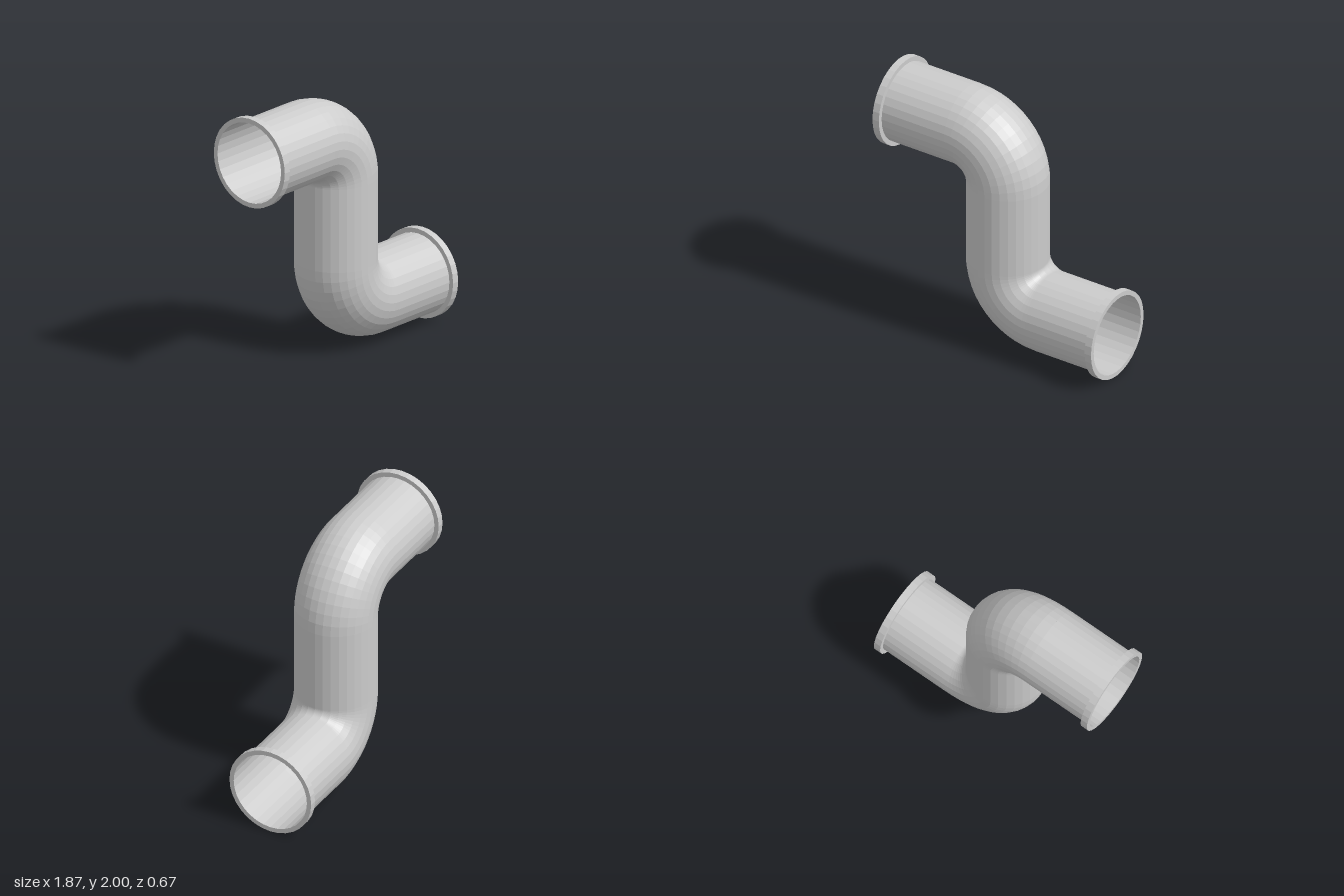
import * as THREE from 'three';

const SIDES = 32;
const R = 0.3;          // pipe radius
const BEND = 0.35;      // bend radius of the centre line
const AXIS_Y = 1.665;   // height of the upper horizontal run
const BEND_Y = AXIS_Y - BEND;
const FLANGE_X = 0.88;  // inner face of the end flange
const FLANGE_T = 0.055;

const material = new THREE.MeshStandardMaterial({
  color: 0xcccccc, flatShading: true, side: THREE.DoubleSide,
});

function part(name, geometry, x, y, turn = 0) {
  const mesh = new THREE.Mesh(geometry, material);
  mesh.name = name;
  mesh.position.set(x, y, 0);
  mesh.rotation.z = turn;
  return mesh;
}

// Open, thin-walled straight pipe
const pipe = (length) => new THREE.CylinderGeometry(R, R, length, SIDES, 1, true);

// One elbow: half of the upright, the bend, the horizontal run and its flange
function createElbow(name) {
  const elbow = new THREE.Group();
  elbow.name = name;

  const rise = BEND_Y - 1;
  elbow.add(part('uprightPipe', pipe(rise), 0, 1 + rise / 2));

  const bend = new THREE.TorusGeometry(BEND, R, SIDES, 12, Math.PI / 2);
  elbow.add(part('bend', bend, -BEND, BEND_Y));

  const run = FLANGE_X - BEND;
  elbow.add(part('horizontalPipe', pipe(run), -BEND - run / 2, AXIS_Y, Math.PI / 2));

  // Raised ring around the open end
  const ring = [[R, 0], [0.335, 0], [0.335, FLANGE_T], [R, FLANGE_T], [R, 0]]
    .map(([r, h]) => new THREE.Vector2(r, h));
  elbow.add(part('flange', new THREE.LatheGeometry(ring, SIDES), -FLANGE_X, AXIS_Y, Math.PI / 2));
  return elbow;
}

export function createModel() {
  const model = new THREE.Group();
  model.name = 'offsetPipe';

  model.add(createElbow('upperElbow'));

  // The lower elbow is the upper one turned half way round the middle joint
  const lower = createElbow('lowerElbow');
  lower.rotation.z = Math.PI;
  lower.position.y = 2;
  model.add(lower);

  return model;
}
